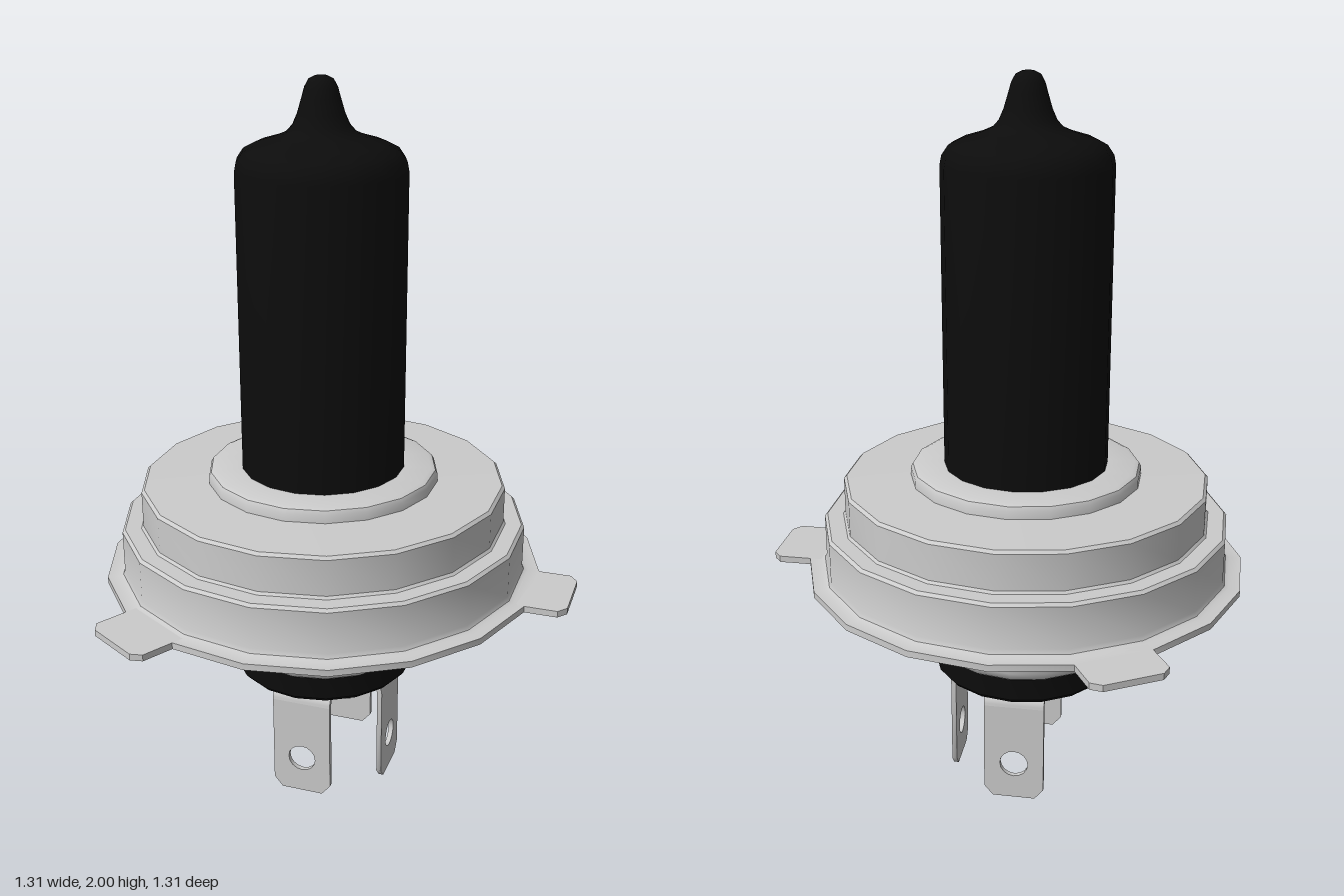
import * as THREE from 'three';
import { toCreasedNormals } from 'three/addons/utils/BufferGeometryUtils.js';

const SIDES = 18;
const grey = new THREE.MeshStandardMaterial({ color: 0xcccccc });
const black = new THREE.MeshStandardMaterial({ color: 0x0c0c0c });

function named(name, geometry, material) {
  const mesh = new THREE.Mesh(geometry, material);
  mesh.name = name;
  return mesh;
}

// Turned part from [radius, height] pairs, listed from the bottom up the outside
function turned(name, profile, material, crease = 0.6) {
  const points = profile.map(([r, y]) => new THREE.Vector2(r, y));
  return named(name, toCreasedNormals(new THREE.LatheGeometry(points, SIDES), crease), material);
}

function outline(points) {
  return new THREE.Shape(points.map(([x, y]) => new THREE.Vector2(x, y)));
}

// Flat locating tab on the flange rim, pointing along +x
function locatingTab() {
  const shape = outline([
    [0.5, -0.106], [0.69, -0.106], [0.712, -0.08],
    [0.712, 0.08], [0.69, 0.106], [0.5, 0.106],
  ]);
  const geo = new THREE.ExtrudeGeometry(shape, { depth: 0.018, bevelEnabled: false });
  geo.rotateX(-Math.PI / 2).translate(0, 0.643, 0);
  return named('locatingTab', geo, grey);
}

// Bent contact blade, standing on the +x side
function contactBlade() {
  const group = new THREE.Group();
  group.name = 'contactBlade';
  const w = 0.085, t = 0.014, outer = 0.203, bendY = 0.293, topY = 0.337;
  const R = topY - bendY;

  const plate = outline([
    [-w + 0.025, 0], [w - 0.025, 0], [w, 0.03], [w, bendY], [-w, bendY], [-w, 0.03],
  ]);
  const hole = new THREE.Path();
  hole.absarc(0, 0.11, 0.04, 0, Math.PI * 2, true);
  plate.holes.push(hole);
  const plateGeo = new THREE.ExtrudeGeometry(plate, { depth: t, bevelEnabled: false, curveSegments: 8 });
  plateGeo.rotateY(Math.PI / 2).translate(outer - t, 0, 0);
  group.add(named('bladePlate', toCreasedNormals(plateGeo, 0.9), grey));

  const bend = new THREE.Shape();
  bend.moveTo(outer - t, bendY);
  bend.lineTo(outer, bendY);
  bend.absarc(outer - R, bendY, R, 0, Math.PI / 2, false);
  bend.lineTo(0.097, topY);
  bend.lineTo(0.097, topY - t);
  bend.lineTo(outer - R, topY - t);
  bend.absarc(outer - R, bendY, R - t, Math.PI / 2, 0, true);
  const bendGeo = new THREE.ExtrudeGeometry(bend, { depth: 2 * w, bevelEnabled: false, curveSegments: 5 });
  bendGeo.translate(0, 0, -w);
  group.add(named('bladeBend', toCreasedNormals(bendGeo, 0.6), grey));
  return group;
}

export function createModel() {
  const model = new THREE.Group();
  model.name = 'headlampBulb';
  const bulb = new THREE.Group();
  bulb.name = 'bulb';
  bulb.position.x = -0.057;
  model.add(bulb);

  // Dark glass capsule with drawn-out tip
  bulb.add(turned('glassCapsule', [
    [0.225, 0.93], [0.225, 1.765], [0.22, 1.79], [0.203, 1.815], [0.17, 1.832],
    [0.12, 1.847], [0.09, 1.86], [0.074, 1.878], [0.062, 1.905], [0.05, 1.945],
    [0.043, 1.97], [0.032, 1.99], [0.016, 1.998], [0, 2],
  ], black, 1.1));

  // Stepped hollow flange
  bulb.add(turned('steppedFlange', [
    [0.27, 0.875], [0.43, 0.875], [0.455, 0.86], [0.462, 0.835], [0.464, 0.775],
    [0.49, 0.77], [0.51, 0.755], [0.518, 0.73], [0.52, 0.643],
    [0.61, 0.643], [0.61, 0.661], [0.578, 0.661], [0.567, 0.666], [0.562, 0.678],
    [0.562, 0.793], [0.554, 0.801], [0.51, 0.801], [0.504, 0.808],
    [0.504, 0.907], [0.496, 0.915], [0.3, 0.918],
  ], grey));

  // Collar gripping the glass
  bulb.add(turned('collar', [
    [0.318, 0.91], [0.318, 0.94], [0.312, 0.951], [0.3, 0.956], [0.2, 0.956],
  ], grey));

  // Metal sleeve and insulating plug below the flange
  bulb.add(turned('sleeve', [
    [0.2, 0.415], [0.258, 0.415], [0.272, 0.425], [0.282, 0.447], [0.282, 0.88],
  ], grey));
  bulb.add(turned('insulatorPlug', [
    [0, 0.34], [0.248, 0.34], [0.258, 0.352], [0.26, 0.42], [0.2, 0.42],
  ], black));

  // Three tabs spaced evenly around the rim
  for (let i = 0; i < 3; i++) {
    const tab = locatingTab();
    tab.rotation.y = (i * Math.PI * 2) / 3;
    bulb.add(tab);
  }

  // Contacts at the front, left and back
  for (let i = -1; i <= 1; i++) {
    const blade = contactBlade();
    blade.rotation.y = (i * Math.PI) / 2;
    bulb.add(blade);
  }
  return model;
}
